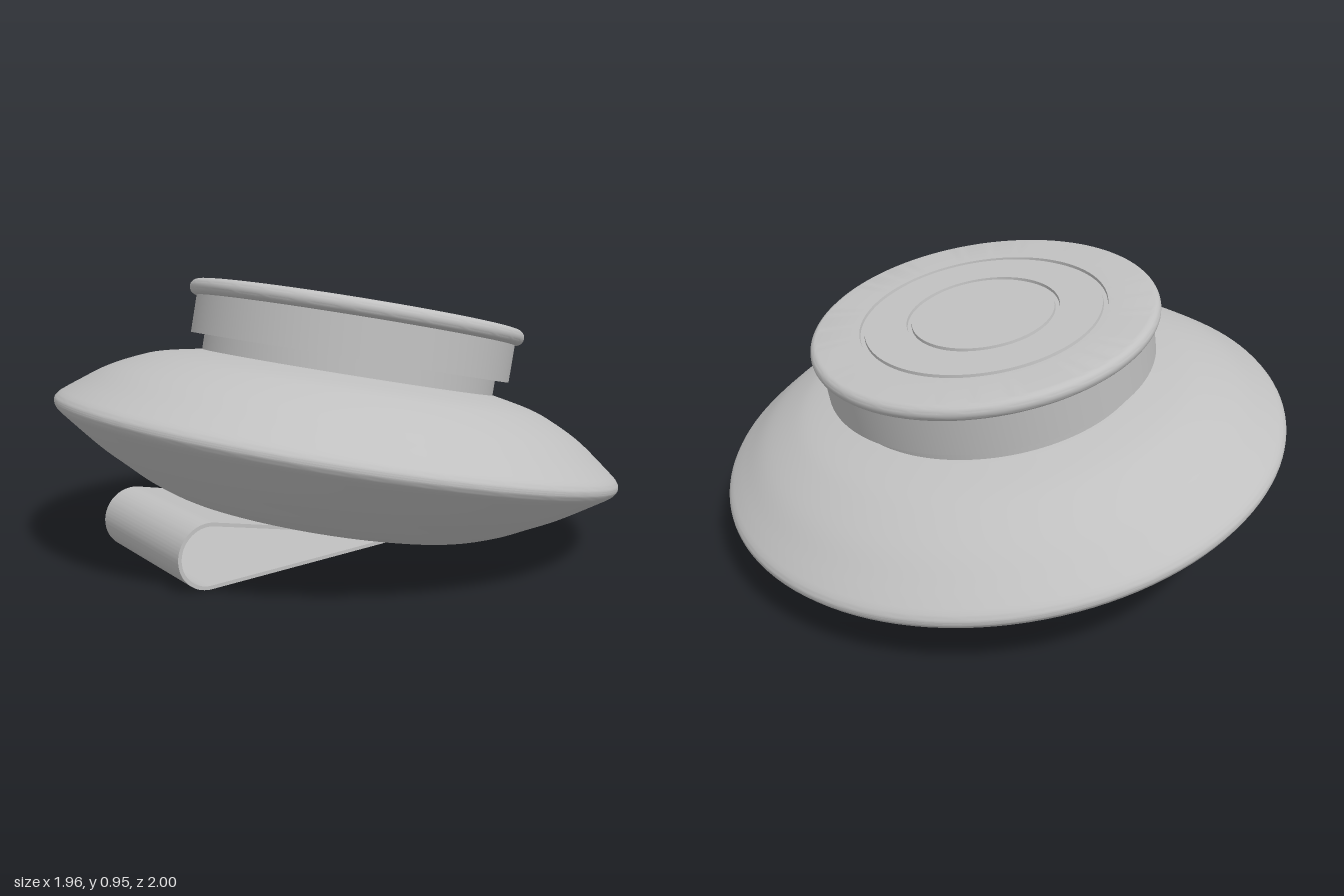
import * as THREE from 'three';
import { toCreasedNormals } from 'three/addons/utils/BufferGeometryUtils.js';

const TILT = THREE.MathUtils.degToRad(11);
const v = (x, y) => new THREE.Vector2(x, y);

export function createModel() {
  const grey = new THREE.MeshStandardMaterial({ color: 0xc0c0c0 });
  grey.name = 'plain grey';

  const model = new THREE.Group();
  model.name = 'tiltedSaucer';

  const add = (parent, name, geometry, crease) => {
    const mesh = new THREE.Mesh(toCreasedNormals(geometry, crease), grey);
    mesh.name = name;
    parent.add(mesh);
  };
  const curve = (pts, n) => new THREE.SplineCurve(pts).getPoints(n);

  // Saucer and lid share one leaning axis, with the rim centre as origin
  const body = new THREE.Group();
  body.name = 'body';
  body.position.y = 0.365;
  body.rotation.z = -TILT;
  model.add(body);

  // Saucer: flat base, curved underside, small rounded rim, domed top
  add(body, 'saucer', new THREE.LatheGeometry([
    v(0, -0.27),
    ...curve([v(0.46, -0.27), v(0.55, -0.262), v(0.655, -0.224), v(0.74, -0.18),
      v(0.84, -0.125), v(0.975, -0.035)], 24),
    ...curve([v(0.988, -0.024), v(0.998, -0.008), v(0.998, 0.008), v(0.988, 0.024)], 8),
    ...curve([v(0.975, 0.035), v(0.93, 0.07), v(0.84, 0.135), v(0.73, 0.19),
      v(0.65, 0.217), v(0.525, 0.242)], 24),
    v(0, 0.242),
  ], 128), 0.5);

  // Neck between saucer and lid
  add(body, 'neck', new THREE.LatheGeometry([v(0.525, 0.23), v(0.525, 0.3)], 128), 0.5);

  // Lid: straight wall, rolled bead, top with two shallow ring grooves
  const bead = [];
  for (let i = 0; i <= 12; i++) {
    const a = -Math.PI / 2 + (i / 12) * Math.PI;
    bead.push(v(0.573 + 0.028 * Math.cos(a), 0.455 + 0.028 * Math.sin(a)));
  }
  const groove = (r) => [v(r + 0.009, 0.483), v(r + 0.007, 0.473), v(r - 0.007, 0.473), v(r - 0.009, 0.483)];
  add(body, 'lid', new THREE.LatheGeometry([
    v(0.5, 0.295), v(0.573, 0.295), ...bead,
    ...groove(0.418), ...groove(0.255), v(0, 0.483),
  ], 128), 0.5);

  // Belt clip: bent strip running along the base and folding back underneath
  const cx = -0.668, cy = 0.108, outer = 0.107, inner = 0.095;
  const top = Math.PI / 2 - TILT;
  const lower = THREE.MathUtils.degToRad(273.5);
  const at = (r, angle, along) => {
    const turn = angle === top ? -Math.PI / 2 : Math.PI / 2;
    return [cx + r * Math.cos(angle) + along * Math.cos(angle + turn),
      cy + r * Math.sin(angle) + along * Math.sin(angle + turn)];
  };
  const strip = new THREE.Shape();
  strip.moveTo(...at(outer, top, 0.93));
  strip.lineTo(...at(outer, top, 0));
  strip.absarc(cx, cy, outer, top, lower, false);
  strip.lineTo(...at(outer, lower, 0.755));
  strip.lineTo(...at(inner, lower, 0.755));
  strip.lineTo(...at(inner, lower, 0));
  strip.absarc(cx, cy, inner, lower, top, true);
  strip.lineTo(...at(inner, top, 0.93));
  strip.closePath();
  const clip = new THREE.ExtrudeGeometry(strip, { depth: 0.58, bevelEnabled: false, curveSegments: 32 });
  clip.translate(0, 0, -0.29);
  add(model, 'clip', clip, 0.5);

  return model;
}
